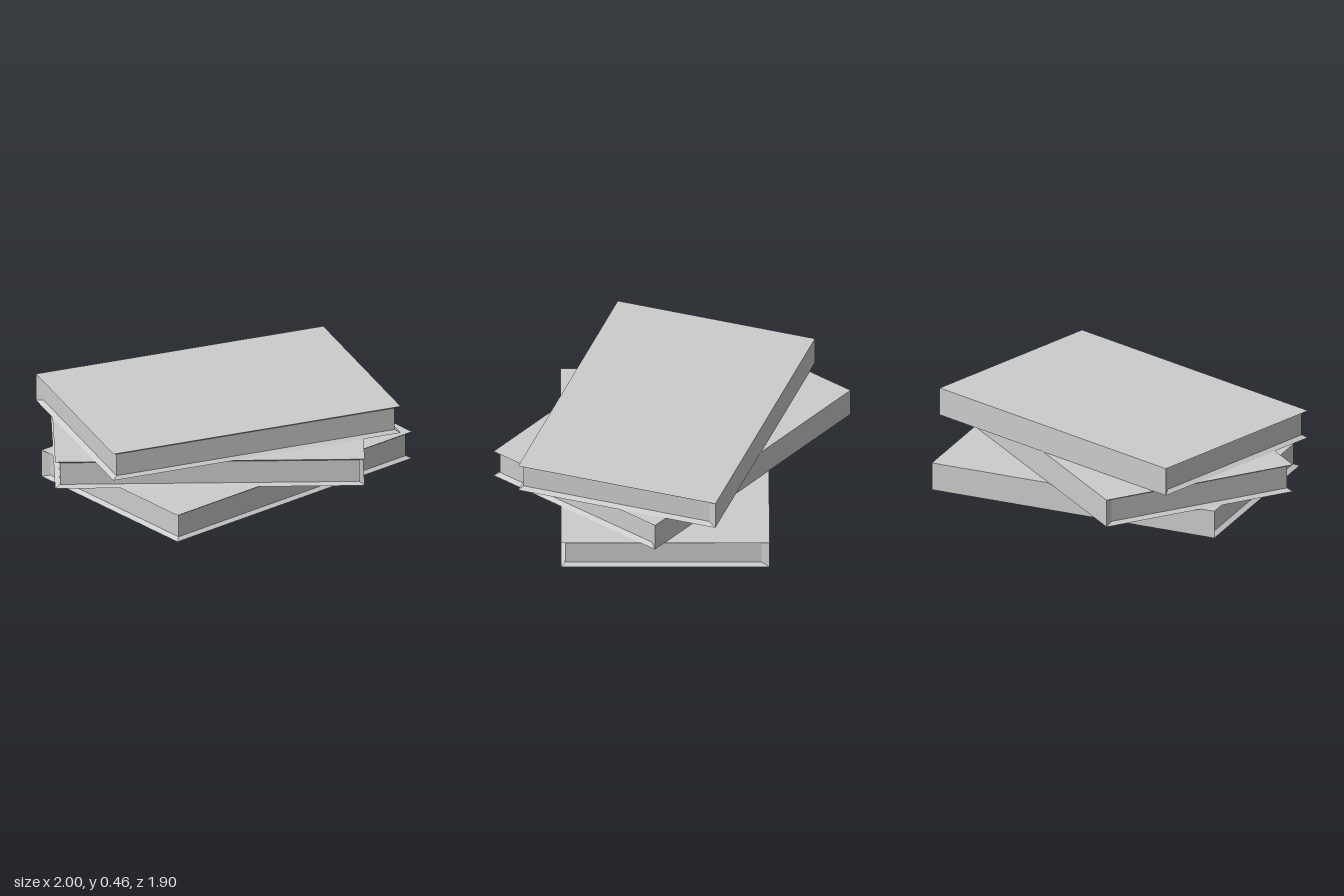
import * as THREE from 'three';

const W = 1.647, D = 1.108, H = 0.1543; // book width, depth, thickness
const SIDE = 0.027, FRONT = 0.022, HINGE = 0.043, LIP = 0.0145; // page block insets

// Flat-sided panel from quads of corner points (counter-clockwise from outside)
function quads(list) {
  const pos = [];
  for (const [a, b, c, d] of list) pos.push(...a, ...b, ...c, ...a, ...c, ...d);
  const g = new THREE.BufferGeometry();
  g.setAttribute('position', new THREE.Float32BufferAttribute(pos, 3));
  g.computeVertexNormals();
  return g;
}

// Rectangle loop: back left, front left, front right, back right
const loop = (x, zBack, zFront, y) => [[-x, y, zBack], [-x, y, zFront], [x, y, zFront], [x, y, zBack]];

function makeBook(material) {
  const x = W / 2, z = D / 2;
  const base = loop(x, -z, z, 0), top = loop(x, -z, z, H);
  const low = loop(x - SIDE, -z + HINGE, z - FRONT, LIP);
  const high = loop(x - SIDE, -z + HINGE, z - FRONT, H - LIP);

  // Covers with overhanging lips that taper in to the pages
  const bottomCover = [[base[3], base[2], base[1], base[0]]];
  const topCover = [top];
  const pages = [];
  for (let i = 0; i < 3; i++) {
    bottomCover.push([base[i], base[i + 1], low[i + 1], low[i]]);
    topCover.push([high[i], high[i + 1], top[i + 1], top[i]]);
    pages.push([low[i], low[i + 1], high[i + 1], high[i]]);
  }
  // Flat spine and the two slanted ends that join it to the pages
  const spine = [
    [base[3], base[0], top[0], top[3]],
    [base[0], low[0], high[0], top[0]],
    [low[3], base[3], top[3], high[3]],
  ];

  const book = new THREE.Group();
  for (const [name, faces] of Object.entries({ bottomCover, topCover, pages, spine })) {
    const mesh = new THREE.Mesh(quads(faces), material);
    mesh.name = name;
    book.add(mesh);
  }
  return book;
}

export function createModel() {
  const group = new THREE.Group();
  group.name = 'bookStack';
  const grey = new THREE.MeshStandardMaterial({ color: 0xcccccc });
  grey.name = 'light grey';

  // name, centre x, centre z, turn
  const stack = [
    ['bottomBook', 0.092, 0.034, 0],
    ['middleBook', -0.012, -0.004, -0.686],
    ['topBook', 0.04, 0.025, -0.33],
  ];
  stack.forEach(([name, x, z, turn], i) => {
    const book = makeBook(grey);
    book.name = name;
    book.position.set(x, i * H, z);
    book.rotation.y = turn;
    group.add(book);
  });
  return group;
}
